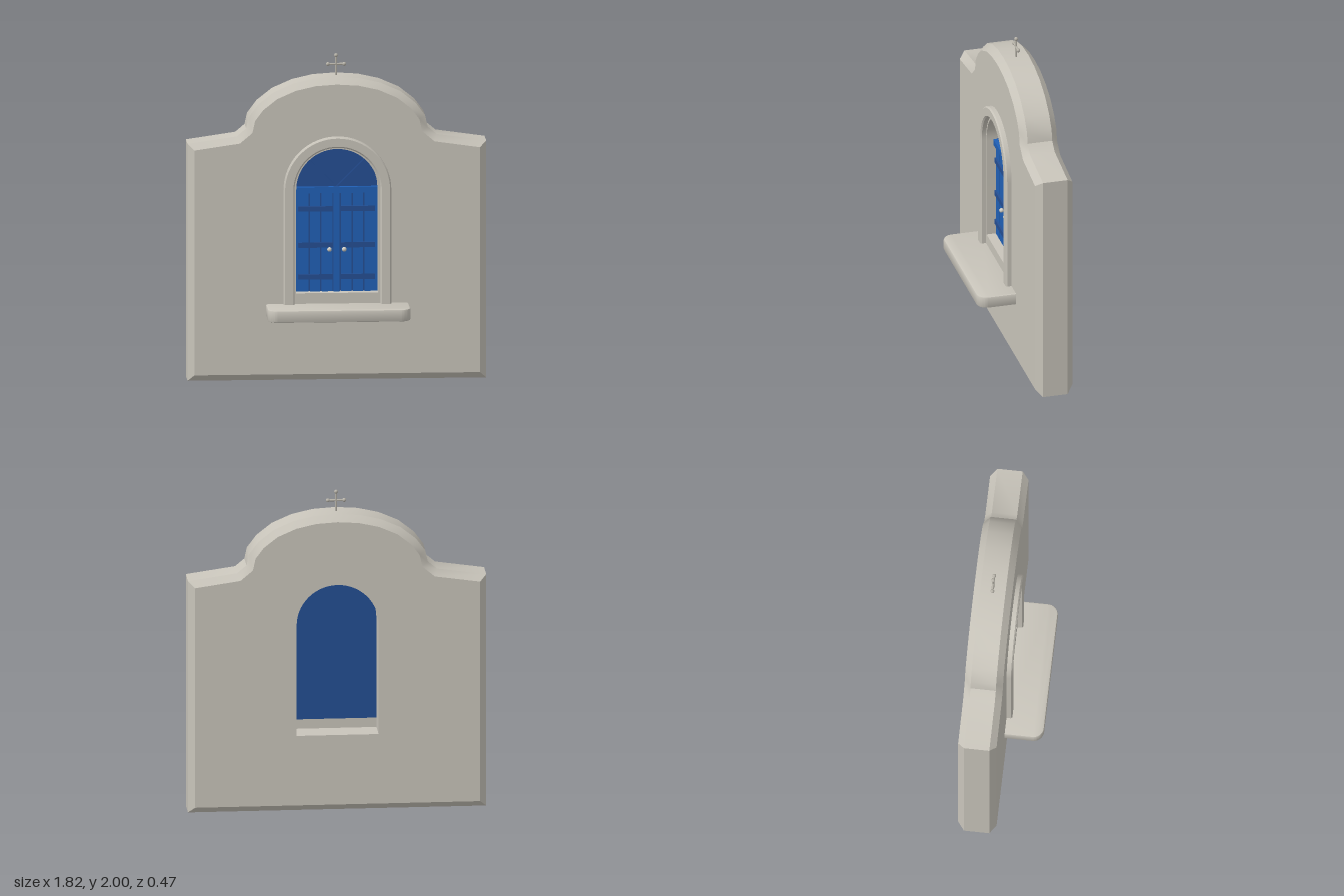
import * as THREE from 'three';
import { mergeGeometries, toCreasedNormals } from 'three/addons/utils/BufferGeometryUtils.js';

const V = (x, y) => new THREE.Vector2(x, y);
const DEPTH = 0.235, ARCH_Y = 1.18;

const mat = (name, color, side = THREE.FrontSide) => {
  const m = new THREE.MeshStandardMaterial({ color, side });
  m.name = name;
  return m;
};

// Round-headed opening outline, counter-clockwise
function archPoints(r, bottom, segments = 28) {
  const pts = [V(-r, bottom), V(r, bottom)];
  for (let i = 0; i <= segments; i++) {
    const a = (Math.PI * i) / segments;
    pts.push(V(r * Math.cos(a), ARCH_Y + r * Math.sin(a)));
  }
  return pts;
}

// Mitred inward offset of a counter-clockwise outline
function inset(pts, d) {
  return pts.map((p, i) => {
    const a = pts[(i + pts.length - 1) % pts.length], b = pts[(i + 1) % pts.length];
    const u = p.clone().sub(a).normalize(), v = b.clone().sub(p).normalize();
    const n1 = V(-u.y, u.x), n2 = V(-v.y, v.x);
    return p.clone().addScaledVector(n1.clone().add(n2), d / (1 + n1.dot(n2)));
  });
}

// Strip of faces joining two outlines, front to back
function band(front, zf, back, zb) {
  const pos = [];
  const put = (p, z) => pos.push(p.x, p.y, z);
  front.forEach((a, i) => {
    const j = (i + 1) % front.length;
    put(a, zf); put(back[i], zb); put(front[j], zf);
    put(front[j], zf); put(back[i], zb); put(back[j], zb);
  });
  const g = new THREE.BufferGeometry();
  g.setAttribute('position', new THREE.Float32BufferAttribute(pos, 3));
  return g;
}

export function createModel() {
  const model = new THREE.Group();
  model.name = 'chapelWindowWall';
  const plaster = mat('plaster', 0xc8c4ba);
  const blue = mat('blue', 0x2060b6);
  const darkBlue = mat('darkBlue', 0x244e93);
  const metal = mat('metal', 0xb6b2a8);
  const knobMat = mat('knobGrey', 0xd2cec4);

  const add = (name, geo, material, parent = model, x = 0, y = 0, z = 0) => {
    const m = new THREE.Mesh(geo, material);
    m.name = name;
    m.position.set(x, y, z);
    parent.add(m);
    return m;
  };
  // Box given by its limits
  const box = (name, x0, x1, y0, y1, z0, z1, material, parent) =>
    add(name, new THREE.BoxGeometry(x1 - x0, y1 - y0, z1 - z0), material, parent,
      (x0 + x1) / 2, (y0 + y1) / 2, (z0 + z1) / 2);

  // Wall: curved gable outline with chamfered edges and an arched opening
  const half = [V(0.91, 0), V(0.91, 1.465), V(0.61, 1.508), V(0.553, 1.556), V(0.538, 1.625),
    V(0.48, 1.703), V(0.386, 1.777), V(0.265, 1.83), V(0.137, 1.859)];
  const outline = [...half, V(0, 1.868), ...half.map(p => V(-p.x, p.y)).reverse()];
  const inner = inset(outline, 0.04);
  const hole = archPoints(0.25, 0.48);
  const face = new THREE.Shape(inner);
  face.holes.push(new THREE.Path(hole));
  const cap = new THREE.ShapeGeometry(face).toNonIndexed();
  cap.deleteAttribute('uv');
  const backCap = cap.clone().rotateY(Math.PI).translate(0, 0, -DEPTH);
  const reversed = [...hole].reverse();
  const shells = [
    band(inner, 0, outline, -0.04),
    band(outline, -0.04, outline, 0.04 - DEPTH),
    band(outline, 0.04 - DEPTH, inner, -DEPTH),
    band(reversed, 0, reversed, -DEPTH),
  ].map(g => toCreasedNormals(g, 0.6));
  add('wall', mergeGeometries([cap, backCap, ...shells]), plaster);

  // Raised surround
  const B = 0.008;
  const outer = archPoints(0.328 - B, 0.475, 32), inside = archPoints(0.262 + B, 0.475, 32);
  const ring = new THREE.Shape([...outer.slice(1), outer[0], inside[0], ...inside.slice(1).reverse()]);
  const surround = new THREE.ExtrudeGeometry(ring, {
    depth: 0.03, bevelEnabled: true, bevelSize: B, bevelThickness: B, bevelSegments: 1 });
  add('windowSurround', toCreasedNormals(surround, 0.5), plaster, model, 0, 0, -0.003);

  // Ledge with rounded front corners
  const w = 0.425, f = 0.225, r = 0.055;
  const plan = new THREE.Shape();
  plan.moveTo(-w, 0.02);
  plan.lineTo(-w, -f + r);
  plan.absarc(-w + r, -f + r, r, Math.PI, Math.PI * 1.5);
  plan.absarc(w - r, -f + r, r, Math.PI * 1.5, Math.PI * 2);
  plan.lineTo(w, 0.02);
  const ledge = new THREE.ExtrudeGeometry(plan, {
    depth: 0.055, bevelSize: 0.01, bevelThickness: 0.01, bevelSegments: 2, curveSegments: 8 });
  ledge.rotateX(-Math.PI / 2);
  add('ledge', toCreasedNormals(ledge, 0.5), plaster, model, 0, 0.41, 0);
  box('threshold', -0.25, 0.25, 0.48, 0.54, -0.08, 0, plaster);

  // Shutters: dark arched backing, planks, straps, knobs
  const shutters = new THREE.Group();
  shutters.name = 'shutters';
  model.add(shutters);
  const backing = new THREE.ExtrudeGeometry(new THREE.Shape(archPoints(0.249, 0.54)),
    { depth: 0.012, bevelEnabled: false });
  add('backing', toCreasedNormals(backing, 0.5), darkBlue, shutters, 0, 0, -0.082);
  for (const s of [-1, 1]) {
    const side = (name, a, b, ...rest) => box(name, Math.min(s * a, s * b), Math.max(s * a, s * b), ...rest);
    for (const [a, b] of [[0.026, 0.09], [0.1, 0.162], [0.17, 0.248]])
      side('plank', a, b, 0.54, 1.15, -0.07, -0.058, blue, shutters);
    for (const y of [0.632, 0.828, 1.052])
      side('strap', 0.026, 0.234, y - 0.016, y + 0.016, -0.058, -0.046, darkBlue, shutters);
    add('knob', new THREE.SphereGeometry(0.014, 16, 12), knobMat, shutters, s * 0.045, 0.802, -0.038);
    add('knobStem', new THREE.CylinderGeometry(0.006, 0.006, 0.02, 10).rotateX(Math.PI / 2),
      knobMat, shutters, s * 0.045, 0.802, -0.05);
    // Fanlight rib
    const rib = new THREE.BoxGeometry(0.014, 0.24, 0.012).translate(0, 0.12, 0);
    add('fanRib', rib, darkBlue, shutters, 0, ARCH_Y, -0.064).rotation.z = -s * Math.PI / 4;
  }
  box('centrePost', -0.018, 0.018, 0.54, 1.15, -0.07, -0.048, blue, shutters);
  box('transomRail', -0.249, 0.249, 1.15, 1.187, -0.07, -0.042, blue, shutters);

  // Cross on the gable
  const cross = new THREE.Group();
  cross.name = 'cross';
  cross.position.set(0, 1.934, -0.118);
  model.add(cross);
  add('upright', new THREE.CylinderGeometry(0.007, 0.007, 0.13, 12), metal, cross, 0, -0.012, 0);
  add('crossbar', new THREE.CylinderGeometry(0.007, 0.007, 0.1, 12).rotateZ(Math.PI / 2), metal, cross);
  for (const [x, y] of [[-0.05, 0], [0.05, 0], [0, 0.054]])
    add('finial', new THREE.SphereGeometry(0.012, 14, 10), metal, cross, x, y, 0);

  return model;
}
